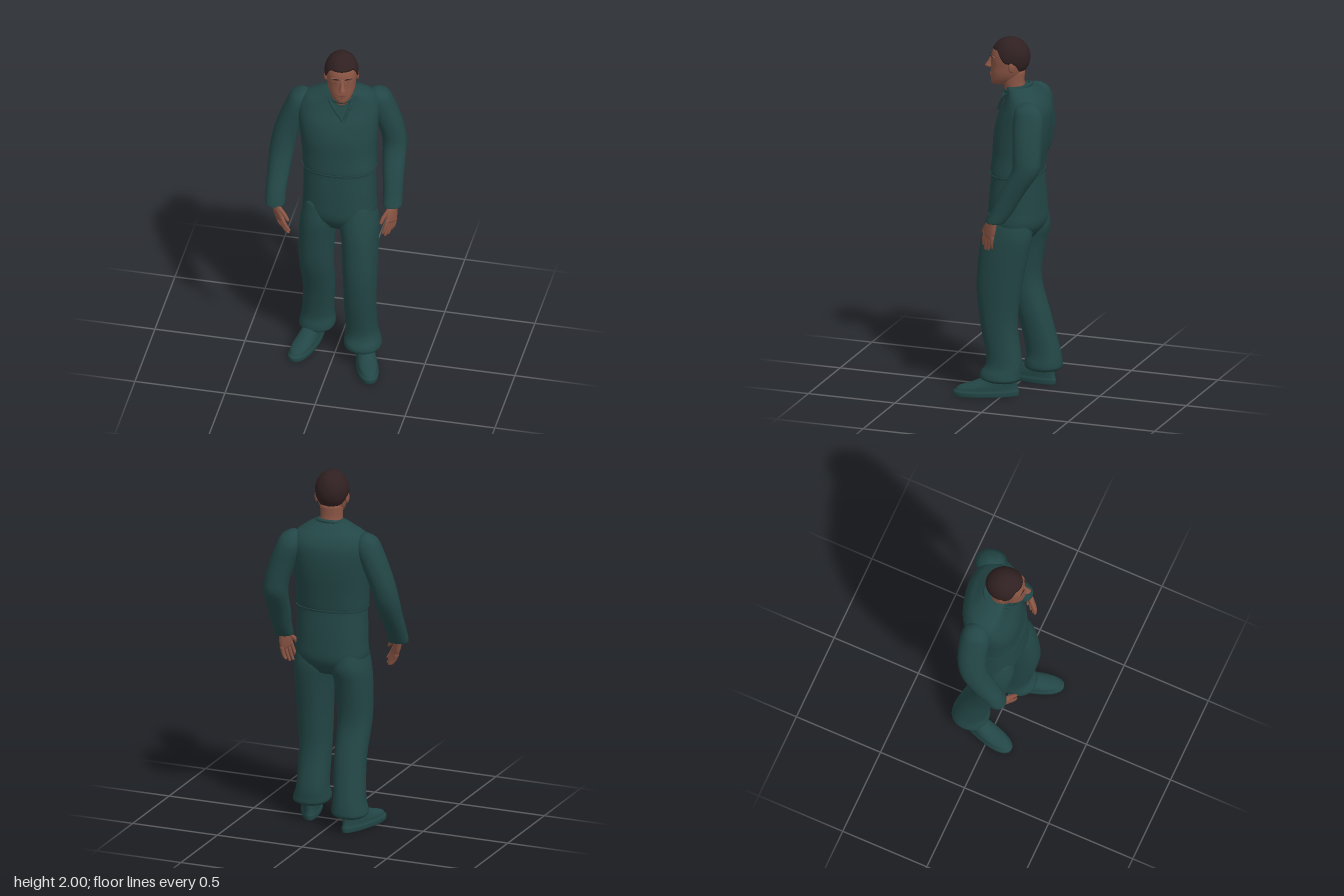
import * as THREE from 'three';

const mat = (name, color) => {
  const m = new THREE.MeshStandardMaterial({ color, side: THREE.DoubleSide });
  m.name = name;
  return m;
};

// Smooth closed skin through level rings [y, cx, cz, rx, rz, yaw], listed bottom to top
function loft(rings, { sides = 28, steps = 4, power = 2.2, warp } = {}) {
  const centre = new THREE.CatmullRomCurve3(rings.map(r => new THREE.Vector3(r[1], r[0], r[2])), false, 'catmullrom');
  const size = new THREE.CatmullRomCurve3(rings.map(r => new THREE.Vector3(r[3], r[4], r[5] || 0)), false, 'catmullrom');
  const rows = (rings.length - 1) * steps;
  const pos = [], idx = [];
  const sup = v => Math.sign(v) * Math.abs(v) ** (2 / power);
  for (let i = 0; i <= rows; i++) {
    const c = centre.getPoint(i / rows), s = size.getPoint(i / rows);
    const cs = Math.cos(s.z), sn = Math.sin(s.z);
    for (let j = 0; j < sides; j++) {
      const t = (j / sides) * Math.PI * 2;
      const a = s.x * sup(Math.cos(t)), b = s.y * sup(Math.sin(t));
      const p = new THREE.Vector3(c.x + a * cs + b * sn, c.y, c.z - a * sn + b * cs);
      if (warp) warp(p);
      pos.push(p.x, p.y, p.z);
    }
  }
  for (let i = 0; i < rows; i++) for (let j = 0; j < sides; j++) {
    const k = (j + 1) % sides, a = i * sides + j, c = i * sides + k;
    idx.push(a, a + sides, c, a + sides, c + sides, c);
  }
  // end caps
  const n = pos.length / 3, first = rings[0], last = rings[rings.length - 1];
  pos.push(first[1], first[0], first[2], last[1], last[0], last[2]);
  for (let j = 0; j < sides; j++) {
    const k = (j + 1) % sides;
    idx.push(n, j, k, n + 1, rows * sides + k, rows * sides + j);
  }
  const g = new THREE.BufferGeometry();
  g.setAttribute('position', new THREE.Float32BufferAttribute(pos, 3));
  g.setIndex(idx);
  g.computeVertexNormals();
  return g;
}

// Hair cap: an ellipsoid cut along a hairline that drops from the brow to the nape
function hairGeometry() {
  const cols = 40, rows = 14, pos = [], idx = [], cy = 1.89, ry = 0.11;
  const step = THREE.MathUtils.smoothstep;
  for (let i = 0; i <= rows + 1; i++) for (let j = 0; j < cols; j++) {
    const phi = (j / cols) * Math.PI * 2, away = Math.min(phi, Math.PI * 2 - phi);
    const edge = 1.938 - 0.07 * step(away, 0.75, 1.4) - 0.072 * step(away, 1.75, 2.5);
    const th = Math.acos((edge - cy) / ry) * Math.min(i, rows) / rows;
    const r = Math.sin(th) * (i > rows ? 0.85 : 1);
    pos.push(0.093 * r * Math.sin(phi), cy + ry * Math.cos(th), 0.107 * r * Math.cos(phi));
  }
  for (let i = 0; i <= rows; i++) for (let j = 0; j < cols; j++) {
    const k = (j + 1) % cols, a = i * cols + j, b = i * cols + k;
    idx.push(a, a + cols, b, b, a + cols, b + cols);
  }
  const g = new THREE.BufferGeometry();
  g.setAttribute('position', new THREE.Float32BufferAttribute(pos, 3));
  g.setIndex(idx);
  g.computeVertexNormals();
  return g;
}

export function createModel() {
  const cloth = mat('teal cloth', 0x234646);
  const skin = mat('skin', 0x8a5544);
  const hair = mat('dark brown hair', 0x302021);
  const lip = mat('lips', 0x74443a);
  const model = new THREE.Group();
  const add = (name, geo, material, parent = model) => {
    const m = new THREE.Mesh(geo, material);
    m.name = name;
    parent.add(m);
    return m;
  };
  const blob = (name, material, parent, p, s) => {
    const m = add(name, new THREE.SphereGeometry(1, 16, 10), material, parent);
    m.position.set(...p);
    m.scale.set(...s);
    return m;
  };

  // Torso, with the shoulders turned against the hips
  add('torso', loft([
    [0.87, 0.02, -0.03, 0.09, 0.09, -0.08], [0.95, 0.02, -0.035, 0.195, 0.143, -0.08],
    [1.05, 0.02, -0.035, 0.2, 0.145, -0.06], [1.15, 0.02, -0.035, 0.198, 0.14, 0],
    [1.235, 0.02, -0.035, 0.196, 0.134, 0.05], [1.26, 0.02, -0.035, 0.202, 0.14, 0.07],
    [1.35, 0.015, -0.045, 0.203, 0.145, 0.15], [1.45, 0.01, -0.055, 0.212, 0.153, 0.22],
    [1.55, 0.005, -0.07, 0.22, 0.148, 0.24], [1.62, 0.005, -0.083, 0.22, 0.13, 0.24],
    [1.67, 0.01, -0.08, 0.195, 0.108, 0.24], [1.7, 0.02, -0.068, 0.15, 0.088, 0.24],
    [1.73, 0.03, -0.05, 0.085, 0.07, 0.24], [1.735, 0.03, -0.048, 0.05, 0.05, 0.24],
  ], { sides: 40, power: 2.3 }), cloth);
  add('waistSeam', loft([[1.238, 0.02, -0.035, 0.199, 0.138, 0.05], [1.25, 0.02, -0.035, 0.203, 0.142, 0.06]],
    { sides: 40, power: 2.3 }), cloth);

  // Collar band and open lapels
  const collar = add('collar', new THREE.TorusGeometry(0.073, 0.011, 8, 32), cloth);
  collar.position.set(0.03, 1.718, -0.04);
  collar.rotation.set(Math.PI / 2 + 0.3, 0, -0.24);
  for (const side of [-1, 1]) {
    const path = new THREE.CatmullRomCurve3([[0.03 + side * 0.07, 1.715, -0.01 - side * 0.015],
      [0.045 + side * 0.045, 1.67, 0.035 - side * 0.012], [0.06, 1.59, 0.062]].map(p => new THREE.Vector3(...p)));
    add('lapel', new THREE.TubeGeometry(path, 12, 0.009, 6), cloth);
  }

  // Trouser legs: the left one forward, the right one trailing
  const legs = {
    left: [[0.085, 0.158, 0.01, 0.08, 0.09], [0.1, 0.16, 0.012, 0.1, 0.11], [0.13, 0.156, 0.012, 0.099, 0.112],
      [0.2, 0.148, -0.003, 0.087, 0.097], [0.4, 0.146, 0.028, 0.087, 0.102], [0.6, 0.147, 0.028, 0.093, 0.124],
      [0.8, 0.141, 0.003, 0.1, 0.138], [0.92, 0.13, -0.015, 0.105, 0.137], [1.04, 0.12, -0.02, 0.085, 0.11]],
    right: [[0.085, -0.125, -0.13, 0.08, 0.085], [0.1, -0.126, -0.13, 0.098, 0.102], [0.13, -0.124, -0.13, 0.097, 0.102],
      [0.2, -0.121, -0.128, 0.087, 0.092], [0.4, -0.107, -0.082, 0.087, 0.09], [0.6, -0.108, -0.024, 0.094, 0.095],
      [0.8, -0.102, -0.024, 0.099, 0.122], [0.92, -0.09, -0.035, 0.1, 0.142], [1.04, -0.08, -0.035, 0.085, 0.12]],
  };
  // Sleeves, from cuff to shoulder
  const arms = {
    left: [[1.03, 0.316, -0.015, 0.046, 0.045], [1.035, 0.316, -0.017, 0.053, 0.052], [1.1, 0.311, -0.055, 0.054, 0.06],
      [1.2, 0.303, -0.105, 0.06, 0.068], [1.32, 0.294, -0.175, 0.066, 0.075], [1.4, 0.283, -0.183, 0.068, 0.077],
      [1.5, 0.254, -0.175, 0.073, 0.081], [1.6, 0.218, -0.168, 0.073, 0.083], [1.655, 0.21, -0.16, 0.055, 0.065],
      [1.685, 0.2, -0.155, 0.018, 0.025]],
    right: [[1.03, -0.308, 0.11, 0.047, 0.043], [1.035, -0.308, 0.108, 0.055, 0.05], [1.1, -0.31, 0.075, 0.056, 0.06],
      [1.2, -0.307, 0.015, 0.062, 0.068], [1.3, -0.3, -0.03, 0.068, 0.075], [1.4, -0.283, -0.052, 0.07, 0.078],
      [1.5, -0.25, -0.062, 0.073, 0.08], [1.6, -0.21, -0.065, 0.073, 0.08], [1.655, -0.2, -0.065, 0.055, 0.062],
      [1.685, -0.19, -0.065, 0.018, 0.025]],
  };
  const feet = { left: [0.195, 0.085, 0.33], right: [-0.16, -0.03, -0.26] };
  const hands = {
    left: { wrist: [0.325, 1.045, -0.005], tip: [0.312, 0.86, 0.055], width: [-0.45, 0, 0.8] },
    right: { wrist: [-0.31, 1.045, 0.115], tip: [-0.235, 0.86, 0.175], width: [0.6, 0, 0.7] },
  };

  for (const side of ['left', 'right']) {
    add(side + 'TrouserLeg', loft(legs[side]), cloth);
    add(side + 'Sleeve', loft(arms[side].map(r => [...r, 0.2])), cloth);

    // Shoe, broader at the ball of the foot
    const shoe = add(side + 'Shoe', loft([
      [0, 0, 0, 0.05, 0.17], [0.003, 0, 0, 0.056, 0.177], [0.025, 0, 0, 0.058, 0.179], [0.035, 0, -0.003, 0.054, 0.172],
      [0.055, 0, -0.012, 0.053, 0.158], [0.08, 0, -0.05, 0.05, 0.118], [0.12, 0, -0.09, 0.046, 0.075],
      [0.16, 0, -0.095, 0.044, 0.06],
    ], { warp: p => { p.x *= 1 + 1.1 * p.z; } }), cloth);
    shoe.position.set(feet[side][0], 0, feet[side][1]);
    shoe.rotation.y = feet[side][2];

    // Hand hangs along its own -y, thumb towards its own +z
    const h = hands[side], hand = new THREE.Group(), palm = side === 'left' ? -1 : 1;
    hand.name = side + 'Hand';
    const y = new THREE.Vector3(...h.wrist).sub(new THREE.Vector3(...h.tip)).normalize();
    const x = new THREE.Vector3().crossVectors(y, new THREE.Vector3(...h.width)).normalize();
    hand.quaternion.setFromRotationMatrix(new THREE.Matrix4().makeBasis(x, y, new THREE.Vector3().crossVectors(x, y)));
    hand.position.set(...h.wrist);
    model.add(hand);
    add('palm', loft([[-0.112, 0, 0, 0.009, 0.032], [-0.1, 0, 0, 0.014, 0.04], [-0.06, 0, 0.002, 0.018, 0.041],
      [-0.02, 0, 0, 0.02, 0.03], [0.03, 0, 0, 0.022, 0.027]], { sides: 16 }), skin, hand);
    [0.168, 0.19, 0.196, 0.182].forEach((len, i) => {
      const z = -0.031 + i * 0.0205;
      add('finger', loft([[-len, palm * 0.02, z * 1.1, 0.003, 0.003], [-len + 0.007, palm * 0.017, z * 1.1, 0.008, 0.008],
        [-0.135, palm * 0.005, z * 1.1, 0.01, 0.01], [-0.09, 0, z, 0.011, 0.011]], { sides: 10, steps: 3 }), skin, hand);
    });
    add('thumb', loft([[-0.122, palm * 0.018, 0.062, 0.003, 0.004], [-0.114, palm * 0.017, 0.061, 0.009, 0.009],
      [-0.08, palm * 0.012, 0.052, 0.011, 0.012], [-0.03, 0, 0.022, 0.013, 0.016]], { sides: 10, steps: 3 }), skin, hand);
  }

  // Head, turned a little towards its left
  const head = new THREE.Group();
  head.name = 'head';
  head.position.x = 0.037;
  head.rotation.y = 0.25;
  model.add(head);
  add('neck', loft([[1.64, 0, -0.045, 0.06, 0.06], [1.69, 0, -0.034, 0.064, 0.063], [1.74, 0, -0.018, 0.061, 0.058],
    [1.82, 0, -0.01, 0.064, 0.068]]), skin, head);
  add('face', loft([[1.732, 0, 0.072, 0.018, 0.022], [1.742, 0, 0.06, 0.037, 0.044], [1.765, 0, 0.037, 0.058, 0.072],
    [1.8, 0, 0.021, 0.073, 0.088], [1.84, 0, 0.012, 0.079, 0.095], [1.88, 0, 0.008, 0.083, 0.1],
    [1.92, 0, 0.004, 0.082, 0.096], [1.95, 0, 0, 0.07, 0.083], [1.975, 0, 0, 0.045, 0.05]]), skin, head);
  add('hair', hairGeometry(), hair, head);
  add('nose', loft([[1.824, 0, 0.108, 0.012, 0.012], [1.834, 0, 0.114, 0.019, 0.027], [1.845, 0, 0.111, 0.015, 0.026],
    [1.865, 0, 0.106, 0.011, 0.017], [1.893, 0, 0.1, 0.009, 0.009]], { sides: 14 }), skin, head);
  blob('upperLip', lip, head, [0, 1.793, 0.106], [0.025, 0.005, 0.009]);
  blob('lowerLip', lip, head, [0, 1.783, 0.104], [0.022, 0.006, 0.01]);
  blob('chin', skin, head, [0, 1.753, 0.088], [0.026, 0.018, 0.02]);
  for (const s of [-1, 1]) {
    blob('ear', skin, head, [s * 0.084, 1.85, -0.012], [0.011, 0.032, 0.019]).rotation.y = s * 0.3;
    blob('browRidge', skin, head, [s * 0.035, 1.893, 0.091], [0.028, 0.009, 0.013]).rotation.y = s * 0.4;
    blob('eyebrow', hair, head, [s * 0.036, 1.896, 0.1], [0.023, 0.0035, 0.004]).rotation.set(0, s * 0.4, -s * 0.08);
    blob('eye', hair, head, [s * 0.034, 1.873, 0.097], [0.012, 0.004, 0.004]).rotation.y = s * 0.4;
  }
  return model;
}
